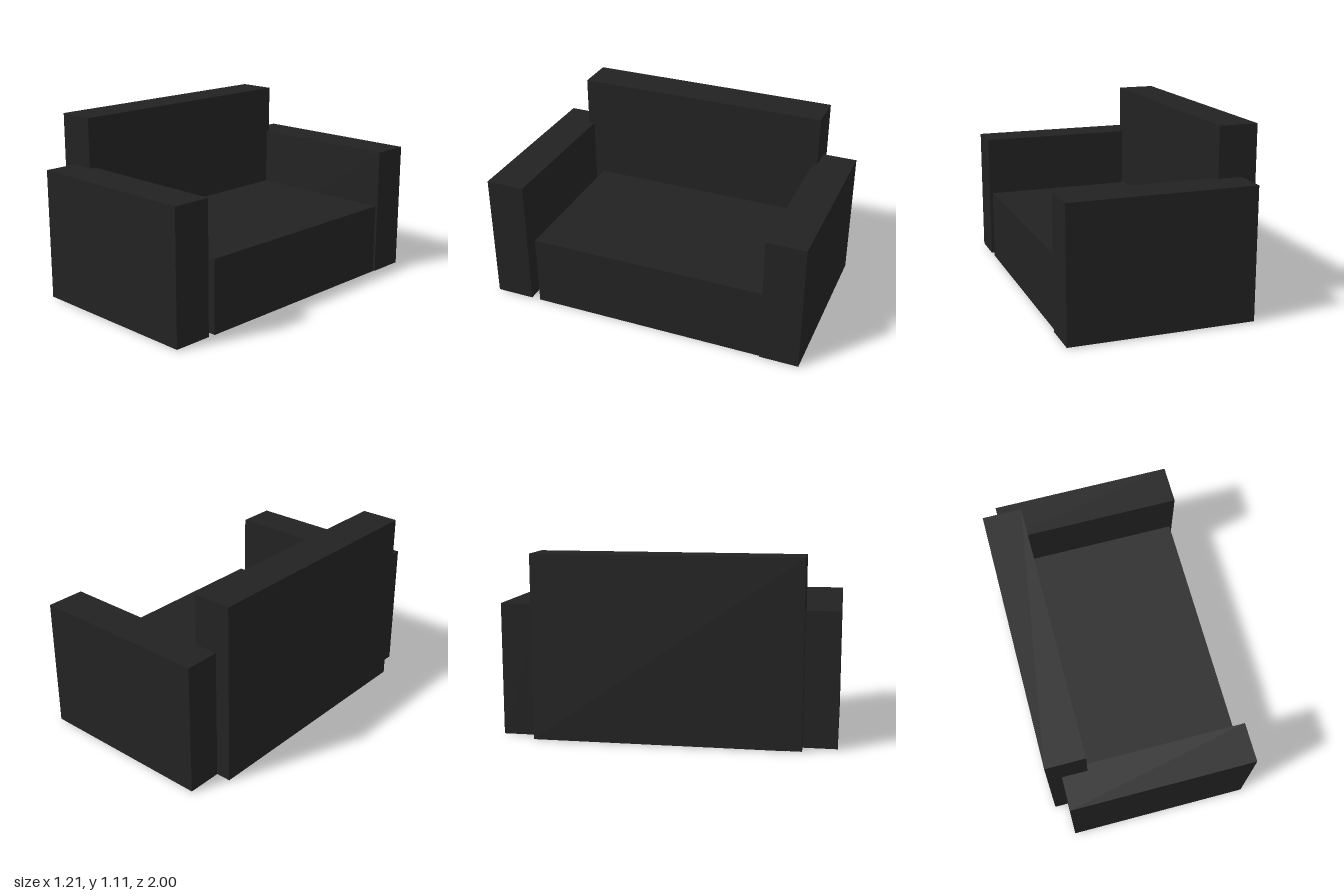
import * as THREE from 'three';

export function createModel() {
  const model = new THREE.Group();
  model.name = 'armchair';
  const upholstery = new THREE.MeshStandardMaterial({ color: 0x222222 });
  upholstery.name = 'black upholstery';

  // Adds a box given its low and high corner on each axis
  function block(name, [x0, x1], [y0, y1], [z0, z1]) {
    const mesh = new THREE.Mesh(new THREE.BoxGeometry(x1 - x0, y1 - y0, z1 - z0), upholstery);
    mesh.position.set((x0 + x1) / 2, (y0 + y1) / 2, (z0 + z1) / 2);
    mesh.name = name;
    model.add(mesh);
  }

  // Seat base, open towards +x
  block('seat', [-0.59, 0.59], [0, 0.446], [-0.775, 0.708]);
  // Tall backrest along -x
  block('backrest', [-0.606, -0.369], [0.006, 1.11], [-0.787, 0.8]);
  // Armrests at both ends, slightly offset from each other
  block('frontArmrest', [-0.522, 0.597], [0.006, 0.805], [0.761, 1]);
  block('rearArmrest', [-0.515, 0.605], [0.006, 0.805], [-1, -0.762]);

  return model;
}
